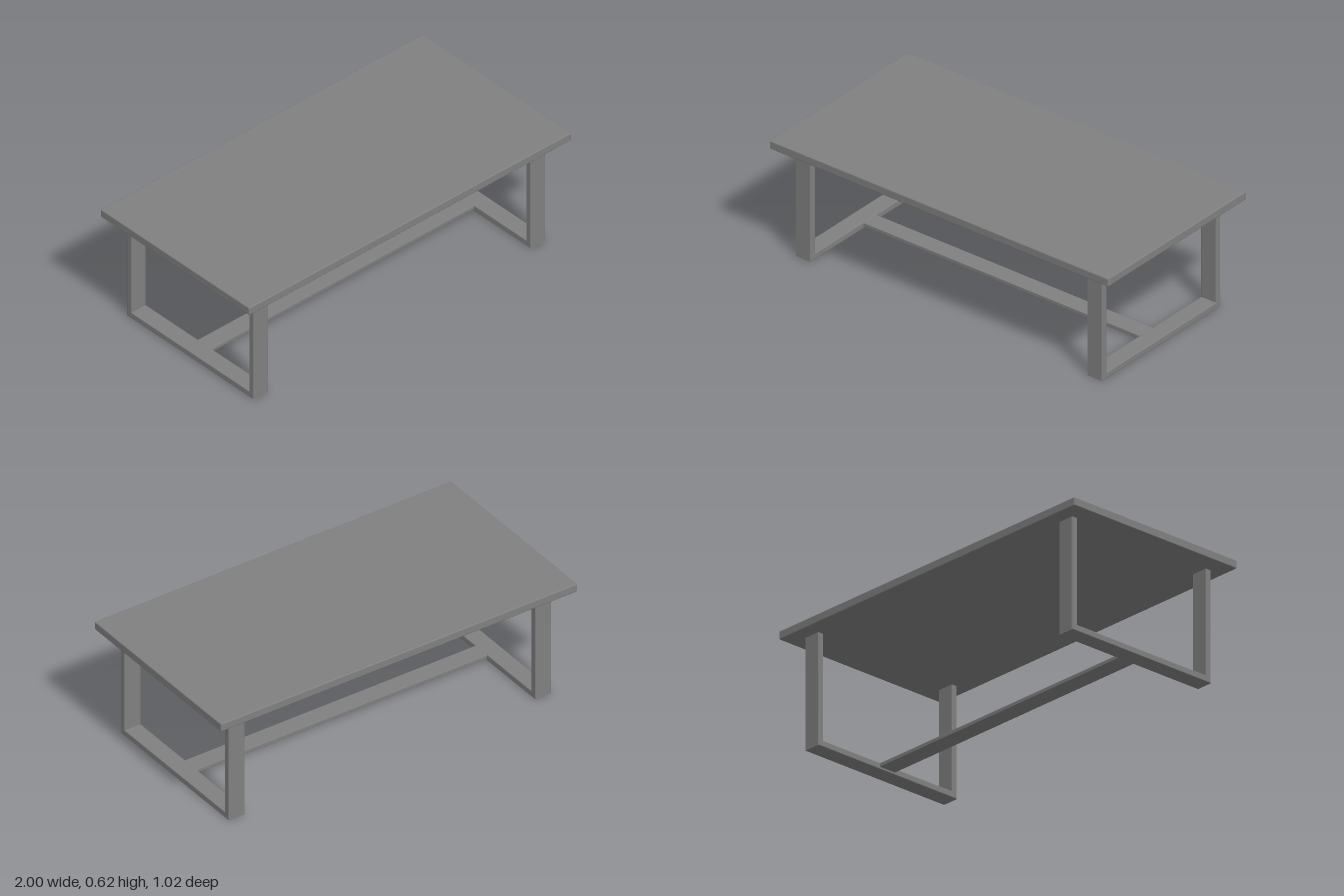
import * as THREE from 'three';
import { RoundedBoxGeometry } from 'three/addons/geometries/RoundedBoxGeometry.js';

const TOP_Y = 0.617, TOP_THICK = 0.044;
const LEG_X = 0.86, LEG_WIDTH = 0.09, LEG_Z = 0.435, BAR = 0.032;
const BEVEL = 0.004;

const material = new THREE.MeshStandardMaterial({ color: 0x808080 });

function addMesh(parent, name, geometry, x, y, z) {
  const mesh = new THREE.Mesh(geometry, material);
  mesh.name = name;
  mesh.position.set(x, y, z);
  parent.add(mesh);
}

// U-shaped leg frame: two uprights joined by a floor bar
function legFrameGeometry() {
  const top = TOP_Y - TOP_THICK + BEVEL; // ends sink slightly into the top
  const inner = LEG_Z - BAR;
  const shape = new THREE.Shape([
    [-LEG_Z, 0], [LEG_Z, 0], [LEG_Z, top], [inner, top],
    [inner, BAR], [-inner, BAR], [-inner, top], [-LEG_Z, top],
  ].map(([z, y]) => new THREE.Vector2(z, y)));
  const geometry = new THREE.ExtrudeGeometry(shape, {
    depth: LEG_WIDTH - 2 * BEVEL,
    bevelEnabled: true,
    bevelSize: BEVEL,
    bevelThickness: BEVEL,
    bevelOffset: -BEVEL,
    bevelSegments: 2,
  });
  geometry.translate(0, 0, -(LEG_WIDTH - 2 * BEVEL) / 2);
  geometry.rotateY(Math.PI / 2);
  return geometry;
}

export function createModel() {
  const table = new THREE.Group();
  table.name = 'table';

  // Table top with softened edges
  addMesh(table, 'tableTop', new RoundedBoxGeometry(2, TOP_THICK, 1.02, 2, 0.006),
    0, TOP_Y - TOP_THICK / 2, 0);

  // Leg frames at both ends
  const frame = legFrameGeometry();
  addMesh(table, 'leftLegFrame', frame, LEG_X, 0, 0);
  addMesh(table, 'rightLegFrame', frame, -LEG_X, 0, 0);

  // Flat stretcher between the floor bars
  const span = 2 * LEG_X - LEG_WIDTH + 0.02;
  addMesh(table, 'stretcher', new RoundedBoxGeometry(span, 0.02, 0.095, 2, 0.003), 0, 0.021, 0);

  return table;
}
